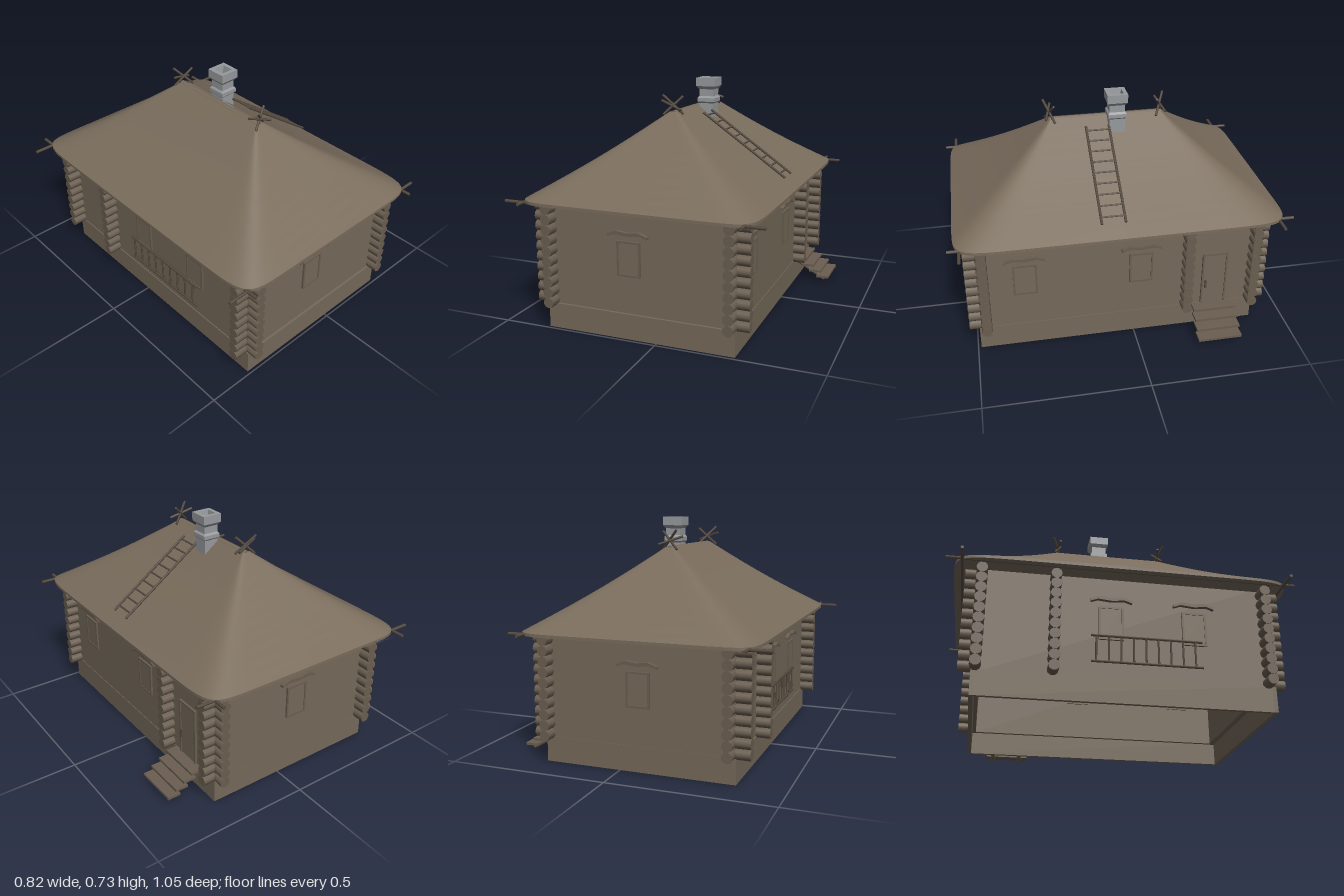
import * as THREE from 'three';

const mat = (name, color, side = THREE.FrontSide) => {
  const m = new THREE.MeshStandardMaterial({ color, side });
  m.name = name;
  return m;
};

export function createModel() {
  const house = new THREE.Group();
  house.name = 'logHouse';
  const thatch = mat('thatch', 0x796c5c, THREE.DoubleSide);
  const clay = mat('clayWall', 0x756959);
  const wood = mat('wood', 0x6a5e50);
  const darkWood = mat('darkWood', 0x574c41);
  const stone = mat('chimneyStone', 0x979a9d, THREE.DoubleSide);

  const add = (name, geo, material, parent = house) => {
    const m = new THREE.Mesh(geo, material);
    m.name = name;
    parent.add(m);
    return m;
  };
  // Box given by its min and max corners
  const box = (name, material, a, b, parent) => {
    const g = new THREE.BoxGeometry(b[0] - a[0], b[1] - a[1], b[2] - a[2]);
    g.translate((a[0] + b[0]) / 2, (a[1] + b[1]) / 2, (a[2] + b[2]) / 2);
    return add(name, g, material, parent);
  };
  // Round pole between two points
  const pole = (name, material, a, b, r, parent, sides = 6) => {
    const p = new THREE.Vector3(...a), q = new THREE.Vector3(...b);
    const m = add(name, new THREE.CylinderGeometry(r, r, p.distanceTo(q), sides), material, parent);
    m.position.copy(p).add(q).multiplyScalar(0.5);
    m.quaternion.setFromUnitVectors(new THREE.Vector3(0, 1, 0), q.sub(p).normalize());
    return m;
  };

  // Four-sided ring of walls, open above and below
  const ring = (name, x0, x1, z0, z1, y0, y1, t) => {
    const g = new THREE.Group();
    g.name = name;
    house.add(g);
    box('frontWall', clay, [x0, y0, z1 - t], [x1, y1, z1], g);
    box('backWall', clay, [x0, y0, z0], [x1, y1, z0 + t], g);
    box('leftWall', clay, [x1 - t, y0, z0 + t], [x1, y1, z1 - t], g);
    box('rightWall', clay, [x0, y0, z0 + t], [x0 + t, y1, z1 - t], g);
  };
  ring('foundation', -0.353, 0.24, -0.393, 0.49, 0, 0.078, 0.012);
  ring('walls', -0.35, 0.238, -0.392, 0.482, 0.072, 0.4, 0.022);

  // Projecting log ends at the corners and the cross wall
  const logs = new THREE.Group();
  logs.name = 'logEnds';
  house.add(logs);
  const XS = [-0.337, 0.228], ZS = [0.467, -0.382], r = 0.0165;
  for (let i = 0; i < 10; i++) {
    const y = 0.088 + i * 0.032;
    for (const z of [...ZS, -0.167]) {
      pole('logEnd', wood, [-0.338, y, z], [-0.395, y, z], r, logs, 10);
      pole('logEnd', wood, [0.225, y, z], [0.278, y, z], r, logs, 10);
    }
    for (const x of XS) {
      pole('logEnd', wood, [x, y, 0.465], [x, y, 0.52], r, logs, 10);
      pole('logEnd', wood, [x, y, -0.38], [x, y, -0.43], r, logs, 10);
    }
  }

  // Window with a shallow gull-wing lintel, facing local +z
  const lintelShape = new THREE.Shape([
    [-0.062, 0.066], [-0.04, 0.074], [0, 0.07], [0.04, 0.074], [0.062, 0.066],
    [0.062, 0.074], [0.035, 0.084], [0, 0.08], [-0.035, 0.084], [-0.062, 0.074],
  ].map(p => new THREE.Vector2(...p)));
  const lintelGeo = new THREE.ExtrudeGeometry(lintelShape, { depth: 0.012, bevelEnabled: false });
  const windowAt = (x, z, turn) => {
    const g = new THREE.Group();
    g.name = 'window';
    g.position.set(x, 0.245, z);
    g.rotation.y = turn;
    house.add(g);
    box('shutter', clay, [-0.033, -0.05, -0.026], [0.033, 0.05, 0.004], g);
    for (const s of [-1, 1]) {
      box('jamb', wood, [s * 0.034 - 0.003, -0.052, -0.026], [s * 0.034 + 0.003, 0.052, 0.006], g);
      box('rail', wood, [-0.036, s * 0.05 - 0.003, -0.026], [0.036, s * 0.05 + 0.003, 0.006], g);
    }
    add('lintel', lintelGeo, wood, g);
  };
  windowAt(-0.085, 0.482, 0);
  windowAt(-0.06, -0.392, Math.PI);
  for (const z of [0.34, -0.02]) windowAt(0.238, z, Math.PI / 2);
  for (const z of [0.25, 0]) windowAt(-0.35, z, -Math.PI / 2);

  // Door with handle
  box('door', clay, [0.23, 0.08, -0.295], [0.242, 0.262, -0.222]);
  for (const z of [-0.298, -0.222]) box('doorJamb', wood, [0.23, 0.08, z - 0.003], [0.245, 0.267, z + 0.003]);
  box('doorHead', wood, [0.23, 0.261, -0.301], [0.245, 0.267, -0.219]);
  box('doorHandle', darkWood, [0.242, 0.14, -0.235], [0.249, 0.168, -0.23]);

  // Entrance steps on two sloping stringers
  for (let i = 0; i < 4; i++) {
    const x = 0.235 + i * 0.027, y = 0.07 - i * 0.018;
    box('tread', wood, [x, y, -0.33 + i * 0.001], [x + 0.042, y + 0.008, -0.19 + i * 0.001]);
  }
  for (const z of [-0.305, -0.215]) pole('stringer', wood, [0.235, 0.066, z], [0.34, 0.006, z], 0.007);

  // Hipped roof: rounded eave outline lofted to the ridge
  const CX = -0.058, CZ = 0.04, HX = 0.364, HZ = 0.505, N = 96, RINGS = 10;
  const pos = [], idx = [];
  for (let k = 0; k <= RINGS; k++) {
    const t = k / RINGS;
    for (let i = 0; i < N; i++) {
      const a = (i / N) * Math.PI * 2, c = Math.cos(a), s = Math.sin(a);
      const ex = CX + HX * Math.sign(c) * Math.abs(c) ** 0.16;
      const ez = CZ + HZ * Math.sign(s) * Math.abs(s) ** 0.16;
      const rx = CX + 0.012 * c, rz = THREE.MathUtils.clamp(ez, -0.14, 0.215);
      pos.push(ex + (rx - ex) * t, 0.4 + 0.238 * t - 0.008 * Math.sin(Math.PI * t), ez + (rz - ez) * t);
      if (k < RINGS) {
        const p = k * N + i, q = k * N + (i + 1) % N;
        idx.push(p, p + N, q, q, p + N, q + N);
      }
    }
  }
  const roofGeo = new THREE.BufferGeometry();
  roofGeo.setAttribute('position', new THREE.Float32BufferAttribute(pos, 3));
  roofGeo.setIndex(idx);
  roofGeo.computeVertexNormals();
  add('roof', roofGeo, thatch);
  pole('ridgeRoll', thatch, [CX, 0.629, -0.142], [CX, 0.629, 0.217], 0.012, house, 10);

  // Eave edge and soffit closing the underside
  const eave = new THREE.Shape();
  for (let i = 0; i < N; i++) {
    const x = pos[i * 3], z = pos[i * 3 + 2];
    if (i) eave.lineTo(x, -z); else eave.moveTo(x, -z);
  }
  const soffit = new THREE.ExtrudeGeometry(eave, { depth: 0.009, bevelEnabled: false });
  soffit.rotateX(-Math.PI / 2);
  add('soffit', soffit, thatch).position.y = 0.391;

  // Poles under the eaves crossing at the corners
  for (const z of [0.525, -0.44]) pole('eavePole', darkWood, [-0.465, 0.393, z], [0.332, 0.393, z], 0.005);
  for (const x of [-0.4, 0.275]) pole('eavePole', darkWood, [x, 0.395, -0.487], [x, 0.395, 0.56], 0.005);

  // Crossed sticks at both ends of the ridge
  for (const [z, d] of [[0.217, 1], [-0.135, -1]]) {
    pole('ridgeStick', darkWood, [-0.03, 0.63, z - d * 0.015], [-0.085, 0.69, z + d * 0.017], 0.004);
    pole('ridgeStick', darkWood, [-0.085, 0.63, z + d * 0.012], [-0.03, 0.685, z - d * 0.012], 0.004);
    pole('ridgeStick', darkWood, [-0.025, 0.645, z + d * 0.014], [-0.098, 0.67, z - d * 0.006], 0.004);
  }

  // Square chimney with stepped bands and an open flue
  const s2 = Math.SQRT2;
  const profile = [[0.024, 0.58], [0.024, 0.645], [0.029, 0.65], [0.029, 0.662], [0.024, 0.668],
    [0.024, 0.69], [0.032, 0.7], [0.032, 0.727], [0.02, 0.727], [0.014, 0.69], [0, 0.69]]
    .map(([w, y]) => new THREE.Vector2(w * s2, y));
  const flue = new THREE.LatheGeometry(profile, 4, Math.PI / 4).toNonIndexed();
  flue.computeVertexNormals();
  add('chimney', flue, stone).position.set(-0.019, 0, 0.012);

  // Ladder from point a to b, with the second rail offset by w
  const ladder = (name, a, b, w, rungs) => {
    const g = new THREE.Group();
    g.name = name;
    house.add(g);
    const A = new THREE.Vector3(...a), B = new THREE.Vector3(...b), W = new THREE.Vector3(...w);
    for (const k of [0, 1]) {
      pole('rail', darkWood, A.clone().addScaledVector(W, k).toArray(), B.clone().addScaledVector(W, k).toArray(), 0.004, g);
    }
    for (let i = 0; i < rungs; i++) {
      const p = A.clone().lerp(B, (i + 0.4) / rungs);
      pole('rung', darkWood, p.toArray(), p.clone().add(W).toArray(), 0.003, g);
    }
  };
  ladder('roofLadder', [0, 0.625, 0.038], [0.27, 0.435, 0.036], [0, 0, 0.072], 9);
  ladder('hangingLadder', [-0.362, 0.12, -0.06], [-0.362, 0.12, 0.27], [0, 0.08, 0], 9);

  return house;
}
